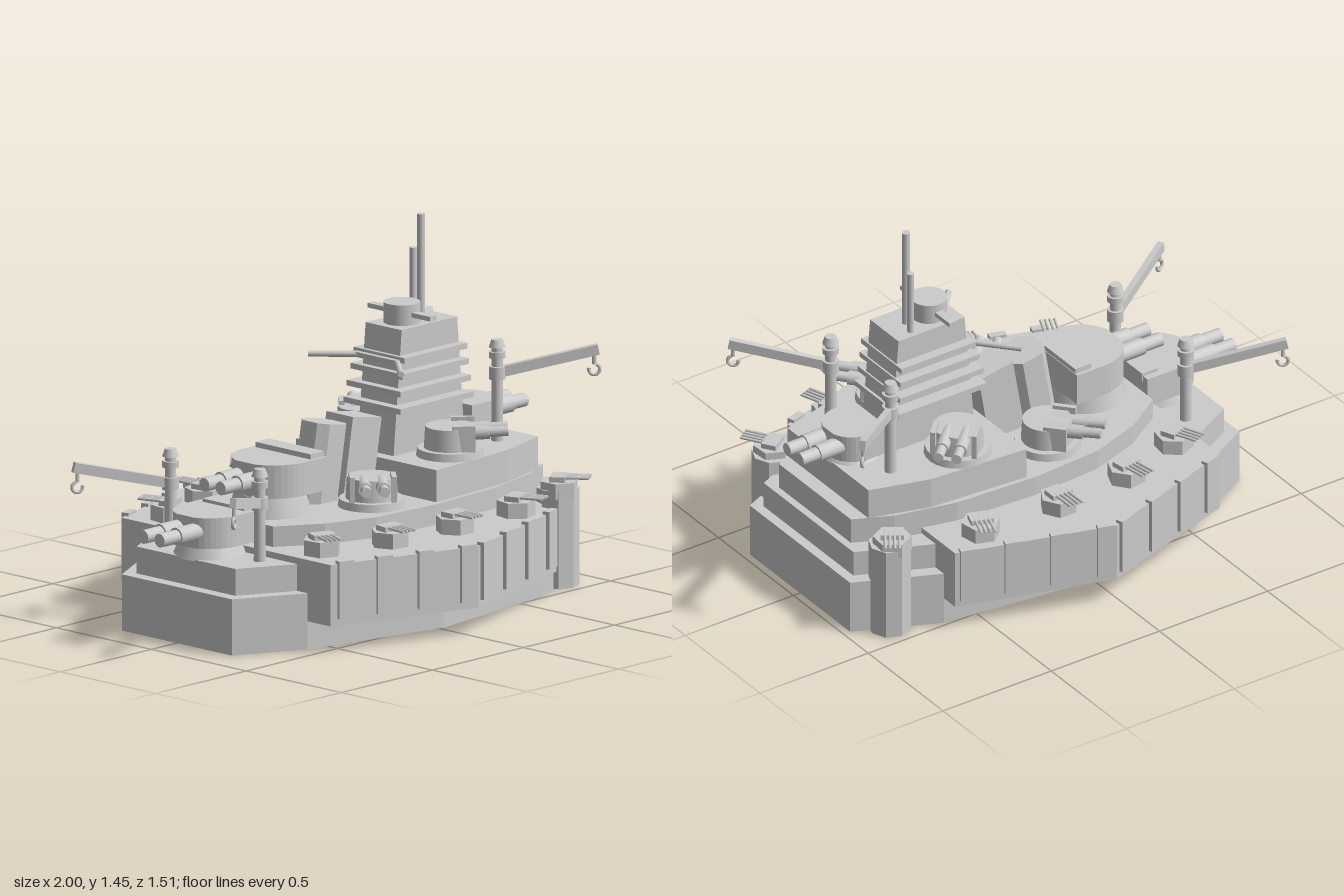
import * as THREE from 'three';

const grey = new THREE.MeshStandardMaterial({ color: 0xcccccc });
const flat = new THREE.MeshStandardMaterial({ color: 0xcccccc, flatShading: true });

function add(parent, name, geo, x = 0, y = 0, z = 0, mat = grey) {
  const m = new THREE.Mesh(geo, mat);
  m.name = name;
  m.position.set(x, y, z);
  parent.add(m);
  return m;
}
const box = (p, n, w, h, d, x, y, z) => add(p, n, new THREE.BoxGeometry(w, h, d), x, y, z);
const cyl = (p, n, rt, rb, h, x, y, z, seg = 24) =>
  add(p, n, new THREE.CylinderGeometry(rt, rb, h, seg), x, y, z, seg < 10 ? flat : grey);

// Cylinder between two points
function rod(p, n, a, b, r, seg = 12) {
  const A = new THREE.Vector3(...a), B = new THREE.Vector3(...b), d = B.clone().sub(A);
  const m = add(p, n, new THREE.CylinderGeometry(r, r, d.length(), seg));
  m.position.copy(A).add(B).multiplyScalar(0.5);
  m.quaternion.setFromUnitVectors(new THREE.Vector3(0, 1, 0), d.normalize());
  return m;
}

// Upright prism, mirrored in z, from a half outline of [x, z] points running aft to fore
function deck(p, n, half, y0, y1) {
  const pts = [...half, ...half.map(([x, z]) => [x, -z]).reverse()];
  const s = new THREE.Shape(pts.map(([x, z]) => new THREE.Vector2(x, -z)));
  const g = new THREE.ExtrudeGeometry(s, { depth: y1 - y0, bevelEnabled: false });
  g.rotateX(-Math.PI / 2);
  return add(p, n, g, 0, y0, 0, flat);
}

// Twin main gun house, muzzles towards local +x, round front and square rear
function mainTurret(p, n, x, y, w, front, back, len, h, dir, base) {
  const g = new THREE.Group();
  g.name = n;
  const arc = [];
  for (let i = 0; i <= 8; i++) {
    const a = Math.PI / 2 * (1 - i / 8) * 0.8 + Math.PI * 0.1;
    arc.push([front - w + w * Math.cos(a), w * Math.sin(a)]);
  }
  deck(g, 'gunHouse', [[-back, w], ...arc], 0, h);
  cyl(g, 'barbette', w * 0.85, w, base, 0, -base / 2, 0, 32);
  for (const s of [-1, 1]) {
    rod(g, 'gunSleeve', [front * 0.5, h * 0.52, s * 0.043], [front + (len - front) * 0.5, h * 0.52, s * 0.043], 0.035);
    rod(g, 'gunBarrel', [front * 0.5, h * 0.52, s * 0.043], [len, h * 0.52, s * 0.043], 0.027);
  }
  g.position.set(x, y, 0);
  if (dir < 0) g.rotation.y = Math.PI;
  p.add(g);
  return g;
}

// Round secondary turret, guns towards local +x
function roundTurret(p, x, y, z, angle) {
  const g = new THREE.Group();
  g.name = 'secondaryTurret';
  cyl(g, 'turretRing', 0.125, 0.13, 0.03, 0, 0.015, 0);
  cyl(g, 'turretHouse', 0.095, 0.1, 0.085, 0, 0.072, 0);
  for (const s of [-1, 1]) {
    box(g, 'gunShield', 0.09, 0.1, 0.02, 0.05, 0.08, s * 0.08);
    rod(g, 'gunSleeve', [0, 0.09, s * 0.035], [0.15, 0.095, s * 0.035], 0.027);
    rod(g, 'gunBarrel', [0.1, 0.093, s * 0.035], [0.22, 0.1, s * 0.035], 0.02);
  }
  g.position.set(x, y, z);
  g.rotation.y = angle;
  p.add(g);
}

// Light mount with four thin barrels towards local +x
function lightGun(p, x, z, angle) {
  const g = new THREE.Group();
  g.name = 'lightGunMount';
  cyl(g, 'pedestal', 0.075, 0.075, 0.06, 0, 0.03, 0, 6);
  box(g, 'gunCradle', 0.06, 0.025, 0.09, 0, 0.068, 0);
  for (let i = 0; i < 4; i++)
    rod(g, 'gunBarrel', [-0.02, 0.075, (i - 1.5) * 0.018], [0.12, 0.077, (i - 1.5) * 0.018], 0.006, 8);
  g.position.set(x, 0.35, z);
  g.rotation.y = angle;
  p.add(g);
}

// Post crane with a rising jib and hook; tip is [x, y, z]
function crane(p, x, z, y0, y1, yArm, tip) {
  const g = new THREE.Group();
  g.name = 'crane';
  cyl(g, 'cranePost', 0.021, 0.023, y1 - y0, x, (y0 + y1) / 2, z, 16);
  cyl(g, 'craneCap', 0.022, 0.032, 0.03, x, y1 - 0.015, z, 16);
  cyl(g, 'craneCollar', 0.032, 0.032, 0.025, x, y1 - 0.06, z, 16);
  cyl(g, 'craneCollar', 0.032, 0.032, 0.05, x, yArm, z, 16);
  const A = new THREE.Vector3(x, yArm, z), B = new THREE.Vector3(...tip);
  const jib = box(g, 'craneJib', 0.025, 0.04, A.distanceTo(B), 0, 0, 0);
  jib.position.copy(A).add(B).multiplyScalar(0.5);
  jib.lookAt(B);
  const k = A.clone().lerp(B, 0.96);
  rod(g, 'hookCable', [k.x, k.y, k.z], [k.x, k.y - 0.055, k.z], 0.008, 8);
  const hook = add(g, 'hook', new THREE.TorusGeometry(0.021, 0.007, 8, 16, Math.PI * 1.5), k.x, k.y - 0.075, k.z);
  hook.rotation.set(0, Math.atan2(z - k.z, k.x - x), Math.PI * 0.9, 'YXZ');
  p.add(g);
}

export function createModel() {
  const ship = new THREE.Group();
  ship.name = 'battleship';

  // Hull and stepped decks
  deck(ship, 'hull', [[-0.86, 0.29], [-0.59, 0.43], [0.02, 0.56], [0.64, 0.485], [0.97, 0.335]], 0, 0.22);
  deck(ship, 'sideBelt', [[-0.59, 0.55], [0.02, 0.745], [0.64, 0.56]], 0.11, 0.35);
  deck(ship, 'mainDeck', [[-0.81, 0.26], [-0.58, 0.38], [0.64, 0.43], [0.93, 0.3]], 0.22, 0.325);
  deck(ship, 'upperDeck', [[-0.53, 0.19], [-0.36, 0.3], [-0.15, 0.37], [0.15, 0.39], [0.5, 0.37], [0.75, 0.31], [0.9, 0.24]], 0.32, 0.43);
  deck(ship, 'towerBlock', [[0.18, 0.37], [0.6, 0.34], [0.84, 0.27]], 0.42, 0.555);

  // Belt plates
  for (const s of [-1, 1])
    for (const x of [-0.53, -0.37, -0.2, -0.025, 0.065, 0.245, 0.42, 0.59]) {
      const aft = x < 0.02, slope = aft ? 0.195 / 0.61 : -0.185 / 0.62;
      const z = 0.745 + (x - 0.02) * slope;
      const plate = box(ship, 'beltPlate', 0.066, 0.225, 0.03, x, 0.25, s * z);
      plate.rotation.y = -s * Math.atan(slope);
    }

  // Main turrets
  mainTurret(ship, 'aftTurret', -0.68, 0.37, 0.14, 0.14, 0.14, 0.32, 0.12, -1, 0.05);
  const upper = mainTurret(ship, 'upperAftTurret', -0.35, 0.51, 0.16, 0.14, 0.15, 0.315, 0.13, -1, 0.09);
  mainTurret(ship, 'foreTurret', 0.73, 0.575, 0.115, 0.115, 0.09, 0.27, 0.11, 1, 0.025);
  box(upper, 'rangefinder', 0.075, 0.04, 0.29, -0.11, 0.13, 0);
  box(ship, 'rangefinder', 0.07, 0.035, 0.22, -0.57, 0.485, 0);

  // Secondary turrets, light guns and cranes on both sides
  for (const s of [-1, 1]) {
    roundTurret(ship, -0.02, 0.43, s * 0.22, Math.atan2(-s, -0.9));
    roundTurret(ship, 0.4, 0.555, s * 0.23, Math.atan2(-s, 1));
    const guns = [[-0.48, 0.4, -0.4], [-0.2, 0.49, -0.15], [0.13, 0.515, 0], [0.48, 0.5, 0.35], [0.82, 0.4, 0.6]];
    for (const [x, z, t] of guns)
      lightGun(ship, x, s * z, Math.atan2(-s * Math.cos(t), Math.sin(t)));
    cyl(ship, 'bowSponson', 0.082, 0.082, 0.38, 0.825, 0.19, s * 0.39, 8);
    crane(ship, -0.65, s * 0.235, 0.32, 0.685, 0.55, [-0.99, 0.64, s * 0.42]);
    crane(ship, 0.69, s * 0.2, 0.55, 0.95, 0.82, [0.99, 0.9, s * 0.445]);
  }

  // Raked funnels with chamfered sides
  [-0.08, 0.085].forEach((x, i) => {
    const half = i ? [[-0.08, 0.07], [0.08, 0.07]] : [[-0.08, 0.04], [-0.045, 0.075], [0.045, 0.075], [0.08, 0.04]];
    const f = deck(ship, 'funnel', half, 0, 0.34);
    f.position.set(x - 0.03, 0.39, 0);
    f.rotation.z = -0.17;
  });

  // Tapered bridge tower and its galleries
  const side = new THREE.Shape([[0.23, 0.55], [0.62, 0.55], [0.58, 1.04], [0.275, 1.04]].map(q => new THREE.Vector2(...q)));
  add(ship, 'tower', new THREE.ExtrudeGeometry(side, { depth: 0.19, bevelEnabled: false }), 0, 0, -0.095, flat);
  for (const [y, x0, x1, w] of [[0.74, 0.21, 0.615, 0.3], [0.805, 0.22, 0.605, 0.285], [0.87, 0.235, 0.6, 0.275], [0.93, 0.25, 0.595, 0.27]])
    box(ship, 'towerGallery', x1 - x0, 0.022, w, (x0 + x1) / 2, y, 0);

  // Booms behind the tower
  box(ship, 'boomBar', 0.02, 0.02, 0.21, 0.24, 0.92, 0);
  for (const s of [-1, 1]) rod(ship, 'boom', [0.245, 0.92, s * 0.1], [0.115, 0.92, s * 0.245], 0.012);

  // Director, rangefinder arm and masts
  cyl(ship, 'director', 0.07, 0.07, 0.08, 0.375, 1.08, 0, 32);
  box(ship, 'rangefinderArm', 0.035, 0.018, 0.33, 0.375, 1.08, 0);
  rod(ship, 'mainMast', [0.48, 1.03, 0], [0.48, 1.445, 0], 0.016, 16);
  rod(ship, 'shortMast', [0.5, 1.03, -0.06], [0.5, 1.3, -0.06], 0.014, 16);

  return ship;
}
